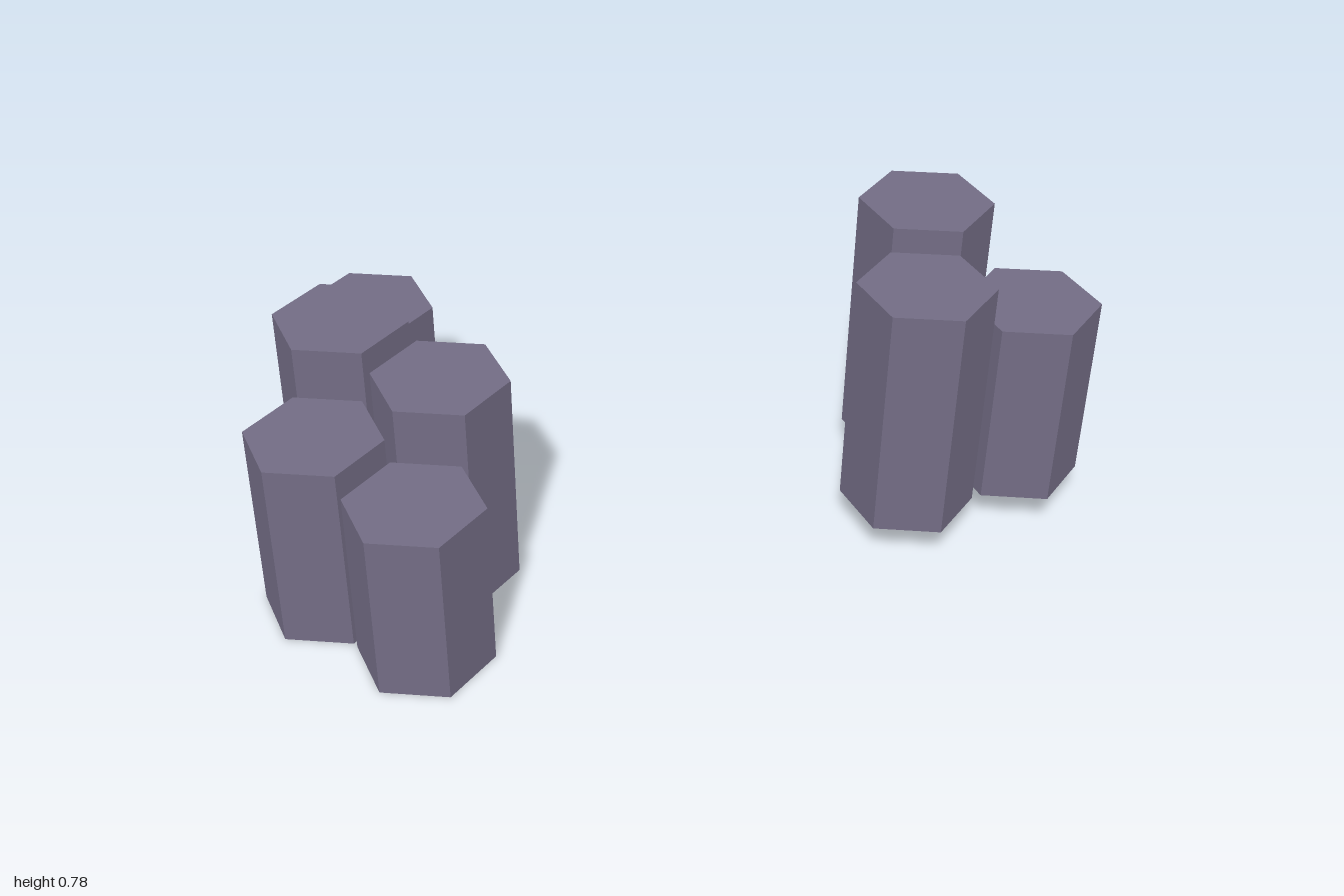
import * as THREE from 'three';

const RADIUS = 0.165;

// Hexagonal column: six walls and a flat top, open underneath
function column(material, x, z, base, top) {
  const profile = [
    new THREE.Vector2(RADIUS, base),
    new THREE.Vector2(RADIUS, top),
    new THREE.Vector2(0, top),
  ];
  const mesh = new THREE.Mesh(new THREE.LatheGeometry(profile, 6), material);
  mesh.position.set(x, 0, z);
  return mesh;
}

// Named cluster of columns sharing one base height; each entry is [x, z, top]
function cluster(name, material, base, columns) {
  const group = new THREE.Group();
  group.name = name;
  columns.forEach(([x, z, top], i) => {
    const mesh = column(material, x, z, base, top);
    mesh.name = `basaltColumn${i + 1}`;
    group.add(mesh);
  });
  return group;
}

export function createModel() {
  const stone = new THREE.MeshStandardMaterial({
    color: 0x726c84, flatShading: true, side: THREE.DoubleSide,
  });
  stone.name = 'purple grey stone';

  const model = new THREE.Group();
  model.name = 'basaltColumns';

  // Five columns on the ground
  model.add(cluster('lowerCluster', stone, 0, [
    [-0.555, -0.435, 0.46],
    [-0.70, -0.165, 0.62],
    [-0.857, 0.10, 0.50],
    [-0.547, 0.10, 0.573],
    [-0.71, 0.362, 0.445],
  ]));

  // Three columns on a raised base
  model.add(cluster('raisedCluster', stone, 0.105, [
    [0.70, 0.17, 0.78],
    [0.545, 0.432, 0.725],
    [0.857, 0.432, 0.60],
  ]));

  return model;
}
